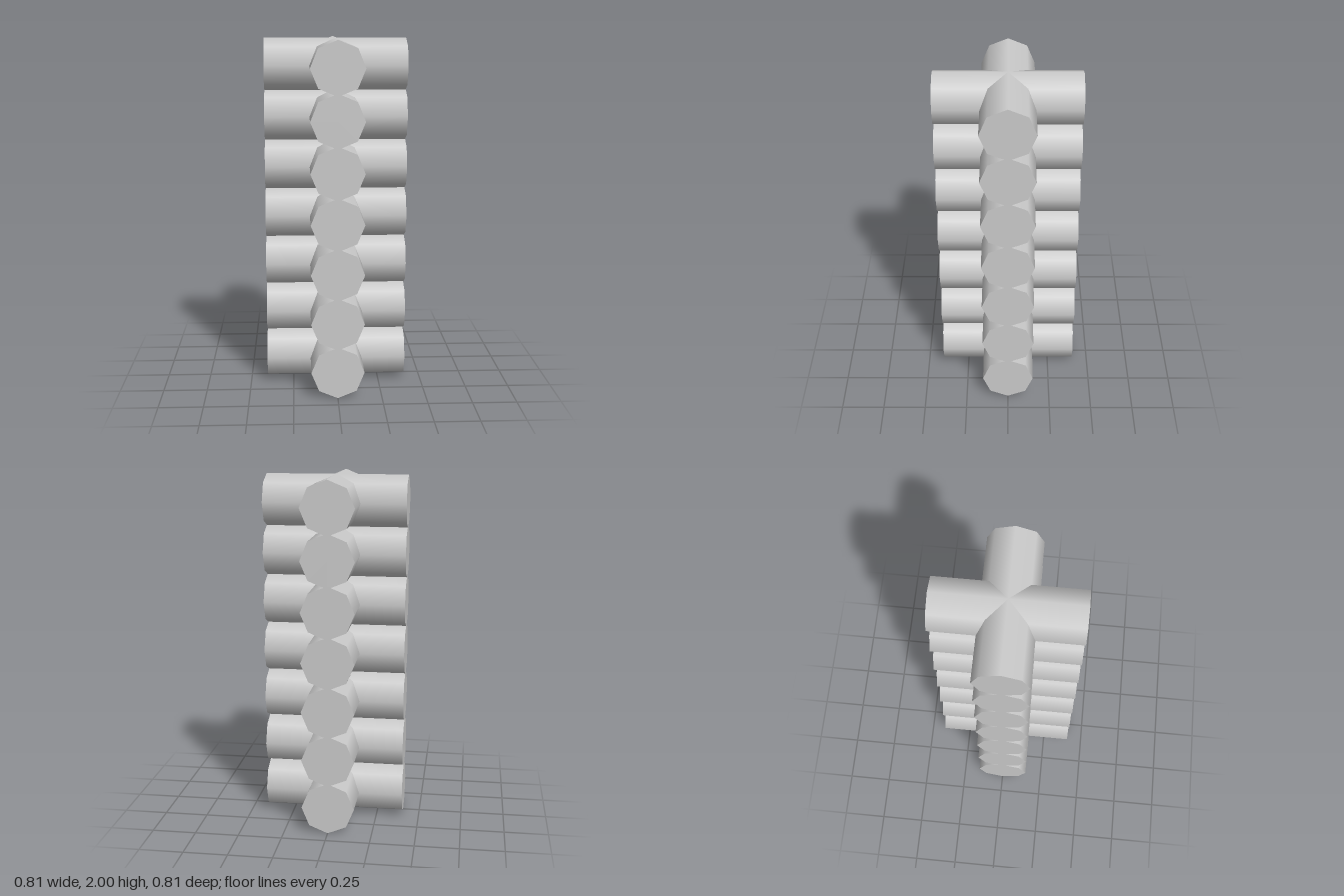
import * as THREE from 'three';

const LAYERS = 7;
const RADIUS = 0.15;
const LENGTH = 0.806;
const SPACING = (2 - 2 * RADIUS) / (LAYERS - 1);

export function createModel() {
  const model = new THREE.Group();
  model.name = 'crossedLogStack';
  const material = new THREE.MeshStandardMaterial({ color: 0xcccccc });

  // eight-sided logs with smooth sides, one lying along x and one along z
  const alongX = new THREE.CylinderGeometry(RADIUS, RADIUS, LENGTH, 8).rotateZ(Math.PI / 2);
  const alongZ = new THREE.CylinderGeometry(RADIUS, RADIUS, LENGTH, 8).rotateX(Math.PI / 2);

  // each layer is a cross of two logs, slightly sunk into the one below
  for (let i = 0; i < LAYERS; i++) {
    const layer = new THREE.Group();
    layer.name = `crossLayer${i + 1}`;
    layer.position.y = RADIUS + i * SPACING;

    const sideLog = new THREE.Mesh(alongX, material);
    sideLog.name = 'sideToSideLog';
    const depthLog = new THREE.Mesh(alongZ, material);
    depthLog.name = 'frontToBackLog';

    layer.add(sideLog, depthLog);
    model.add(layer);
  }
  return model;
}
